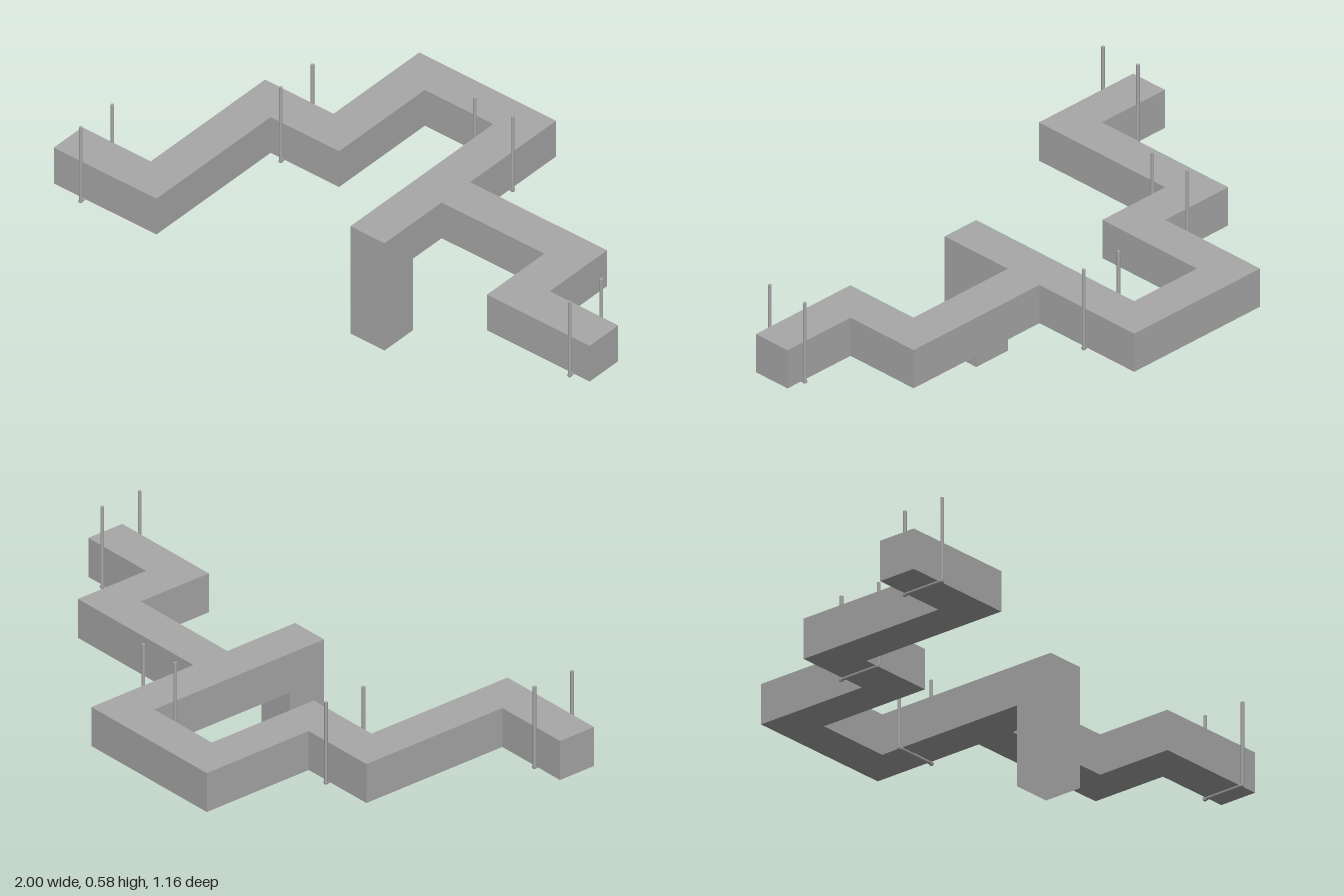
import * as THREE from 'three';

const U = 1 / 7;          // duct width, used as the layout grid
const BACK = -0.581;      // z of the rearmost duct wall

const ductGrey = new THREE.MeshStandardMaterial({ color: 0xa8a8a8, side: THREE.DoubleSide });
ductGrey.name = 'ductGrey';

// Plan outline in grid steps: [x, steps from the back]
const OUTLINE = [
  [-7, 7], [-5, 7], [-5, 3], [-3, 3], [-3, 0], [1, 0], [1, 3], [5, 3], [5, 5], [7, 5], [7, 6],
  [4, 6], [4, 4], [1, 4], [1, 5], [0, 5], [0, 1], [-2, 1], [-2, 4], [-4, 4], [-4, 8], [-7, 8],
];

function add(parent, geometry, name, x = 0, y = 0, z = 0) {
  const mesh = new THREE.Mesh(geometry, ductGrey);
  mesh.name = name;
  mesh.position.set(x, y, z);
  parent.add(mesh);
  return mesh;
}

// Trapeze hanger: two rods joined by a bar running under the duct
function hanger(name, x, z, alongX) {
  const group = new THREE.Group();
  group.name = name;
  const r = 0.006, half = 0.079, low = 0.277, top = 0.577;
  for (const s of [-1, 1]) {
    add(group, new THREE.CylinderGeometry(r, r, top - low, 10), 'hangerRod', 0, (low + top) / 2, s * half);
  }
  const bar = new THREE.CylinderGeometry(r, r, 2 * (half + r), 10).rotateX(Math.PI / 2);
  add(group, bar, 'hangerBar', 0, low + r, 0);
  group.position.set(x, 0, z);
  if (alongX) group.rotation.y = Math.PI / 2;
  return group;
}

export function createModel() {
  const model = new THREE.Group();
  model.name = 'ductRun';

  // Winding horizontal duct with its branch
  const shape = new THREE.Shape(OUTLINE.map(([x, k]) => new THREE.Vector2(x * U, BACK + k * U)));
  const run = new THREE.ExtrudeGeometry(shape, { depth: U, bevelEnabled: false });
  run.rotateX(Math.PI / 2);
  add(model, run, 'horizontalDuct', 0, 3 * U, 0);

  // Drop at the front, open at the bottom (the box's floor is left out)
  const drop = new THREE.BoxGeometry(U, 3 * U, U);
  const index = Array.from(drop.index.array);
  index.splice(18, 6);
  drop.setIndex(index);
  drop.clearGroups();
  add(model, drop, 'openDrop', U / 2, 1.5 * U, BACK + 5.5 * U);

  // Hangers
  model.add(
    hanger('rightEndHanger', -0.876, 0.496, false),
    hanger('rightHanger', -0.522, -0.08, false),
    hanger('backHanger', 0.069, -0.358, true),
    hanger('leftEndHanger', 0.926, 0.208, false),
  );
  return model;
}
